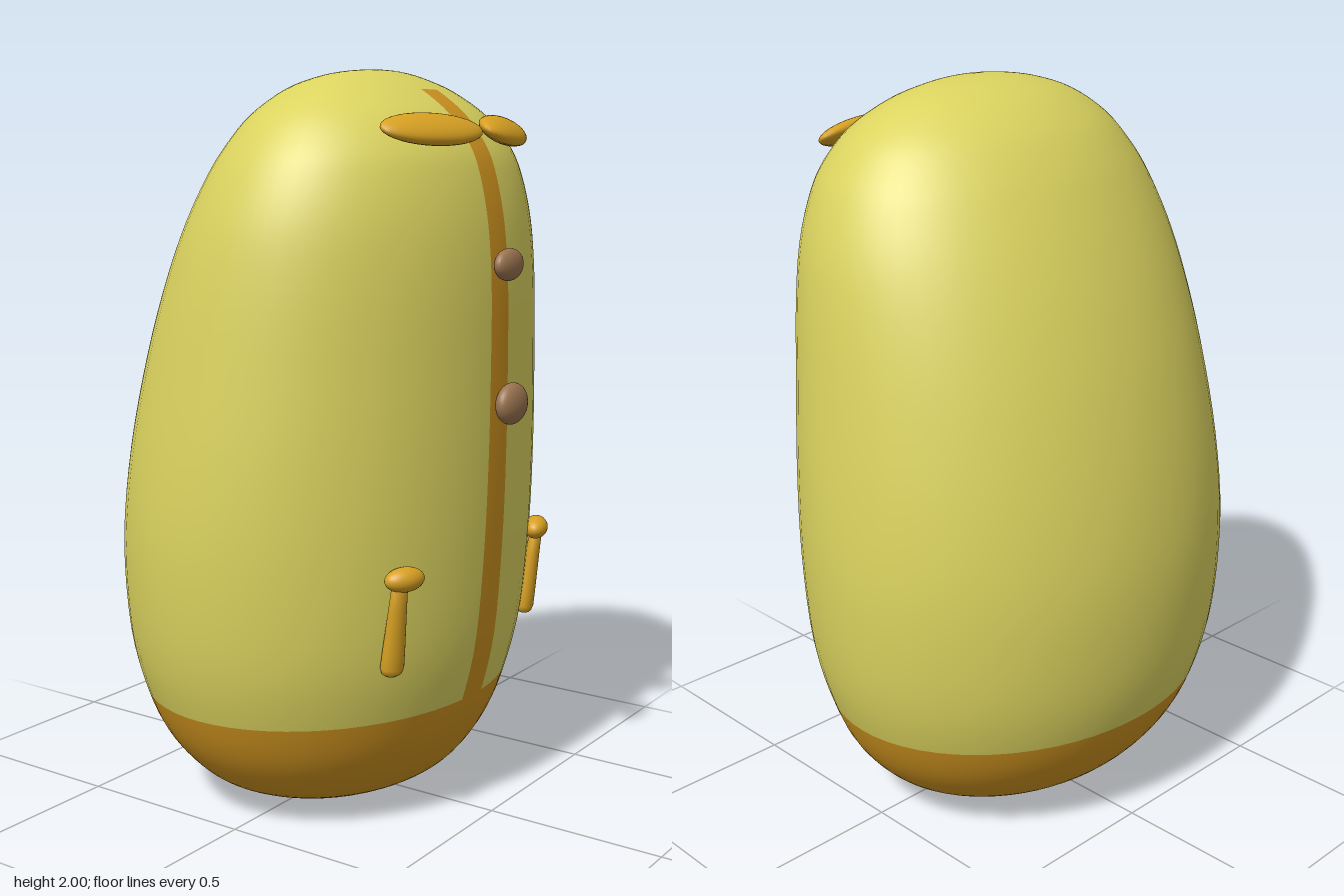
import * as THREE from 'three';

const mat = (name, color) => {
  const m = new THREE.MeshStandardMaterial({ color });
  m.name = name;
  return m;
};

// Cross-sections: y, half width, front z, back z
const SECTIONS = [
  [0.005, 0, 0, 0],
  [0.007, 0.12, 0.08, -0.09],
  [0.015, 0.23, 0.15, -0.17],
  [0.05, 0.345, 0.25, -0.285],
  [0.1, 0.44, 0.32, -0.375],
  [0.2, 0.53, 0.387, -0.46],
  [0.325, 0.588, 0.433, -0.517],
  [0.5, 0.633, 0.472, -0.555],
  [0.75, 0.651, 0.492, -0.565],
  [1.0, 0.641, 0.5, -0.535],
  [1.25, 0.614, 0.501, -0.478],
  [1.45, 0.588, 0.498, -0.412],
  [1.6, 0.559, 0.485, -0.348],
  [1.72, 0.516, 0.46, -0.286],
  [1.8, 0.47, 0.428, -0.236],
  [1.88, 0.4, 0.365, -0.17],
  [1.945, 0.297, 0.277, -0.085],
  [1.98, 0.19, 0.205, -0.005],
  [1.995, 0.095, 0.16, 0.06],
  [2.0, 0, 0.12, 0.12],
];
const BASE_ROW = 6, STRIP_END_ROW = 16; // rows where the colours change

// Body of elliptical rings; the two front columns carry the zip strip
function bodyGeometry(sub = 4, cols = 64) {
  const last = SECTIONS.length - 1, rows = last * sub;
  const curve = (f) => new THREE.CatmullRomCurve3(SECTIONS.map(f), false, 'catmullrom');
  const size = curve((s) => new THREE.Vector3(s[1], s[2], s[3]));
  const height = curve((s) => new THREE.Vector3(0, s[0], 0));
  const pos = [], faces = [[], [], []];
  for (let r = 0; r <= rows; r++) {
    const s = size.getPoint(r / rows), y = height.getPoint(r / rows).y;
    const a = Math.max(s.x, 0), mid = (s.y + s.z) / 2, b = Math.max((s.y - s.z) / 2, 0);
    const half = 0.053 - 0.007 * y;
    const edge = Math.asin(Math.min(half / Math.max(a, 0.001), 0.25));
    for (let c = 0; c < cols; c++) {
      // columns 0, 1, 2 are the strip's left edge, centre and right edge
      const t = c < 2 ? (c - 1) * edge
        : edge + ((c - 2) / (cols - 2)) * (2 * Math.PI - 2 * edge);
      pos.push(a * Math.sin(t), y, mid + b * Math.cos(t));
    }
  }
  for (let r = 0; r < rows; r++) {
    for (let c = 0; c < cols; c++) {
      const n = (c + 1) % cols, i = r * cols, j = i + cols;
      const strip = c < 2 && r < STRIP_END_ROW * sub;
      const f = faces[r < BASE_ROW * sub ? 1 : strip ? 2 : 0];
      if (r > 0) f.push(i + c, i + n, j + n);
      if (r < rows - 1) f.push(i + c, j + n, j + c);
    }
  }
  const g = new THREE.BufferGeometry();
  g.setAttribute('position', new THREE.Float32BufferAttribute(pos, 3));
  g.setIndex(faces.flat());
  let start = 0;
  faces.forEach((f, k) => {
    g.addGroup(start, f.length, k);
    start += f.length;
  });
  g.computeVertexNormals();
  for (let c = 0; c < cols; c++) {
    g.attributes.normal.setXYZ(c, 0, -1, 0);
    g.attributes.normal.setXYZ(rows * cols + c, 0, 1, 0);
  }
  return g;
}

export function createModel() {
  const model = new THREE.Group();
  const yellow = mat('yellow', 0xdbd35f);
  const ochre = mat('ochre', 0xcd921f);
  const amber = mat('amber', 0xd7a022);
  const brown = mat('brown', 0x9a7450);
  const ball = new THREE.SphereGeometry(1, 32, 20);

  const add = (name, geometry, material, position, scale = [1, 1, 1], rotation = [0, 0, 0]) => {
    const m = new THREE.Mesh(geometry, material);
    m.name = name;
    m.position.set(...position);
    m.scale.set(...scale);
    m.rotation.set(...rotation, 'YXZ');
    model.add(m);
    return m;
  };

  add('body', bodyGeometry(), [yellow, ochre, ochre], [0, 0, 0]);

  // Buttons on the strip
  add('upperButton', ball, brown, [0, 1.5, 0.522], [0.063, 0.042, 0.026]);
  add('lowerButton', ball, brown, [0, 1.14, 0.538], [0.066, 0.055, 0.032]);

  // Tapered stem with a rounded foot
  const stem = new THREE.LatheGeometry(
    [[0, -0.13], [0.02, -0.129], [0.029, -0.123], [0.034, -0.108], [0.032, -0.06],
      [0.026, 0.05], [0.022, 0.13], [0, 0.13]].map(([x, y]) => new THREE.Vector2(x, y)), 24);

  for (const [side, s] of [['left', 1], ['right', -1]]) {
    add(side + 'Collar', ball, amber, [s * 0.178, 1.84, 0.398],
      [0.166, 0.03, 0.06], [0.58, s * 0.28, 0]);
    add(side + 'Knob', ball, amber, [s * 0.345, 0.728, 0.433],
      [0.057, 0.032, 0.034], [0, s * 0.4, 0]);
    add(side + 'Stem', stem, amber, [s * 0.353, 0.6, 0.413],
      [1, 1, 0.75], [0.13, s * 0.3, 0]);
  }
  return model;
}
